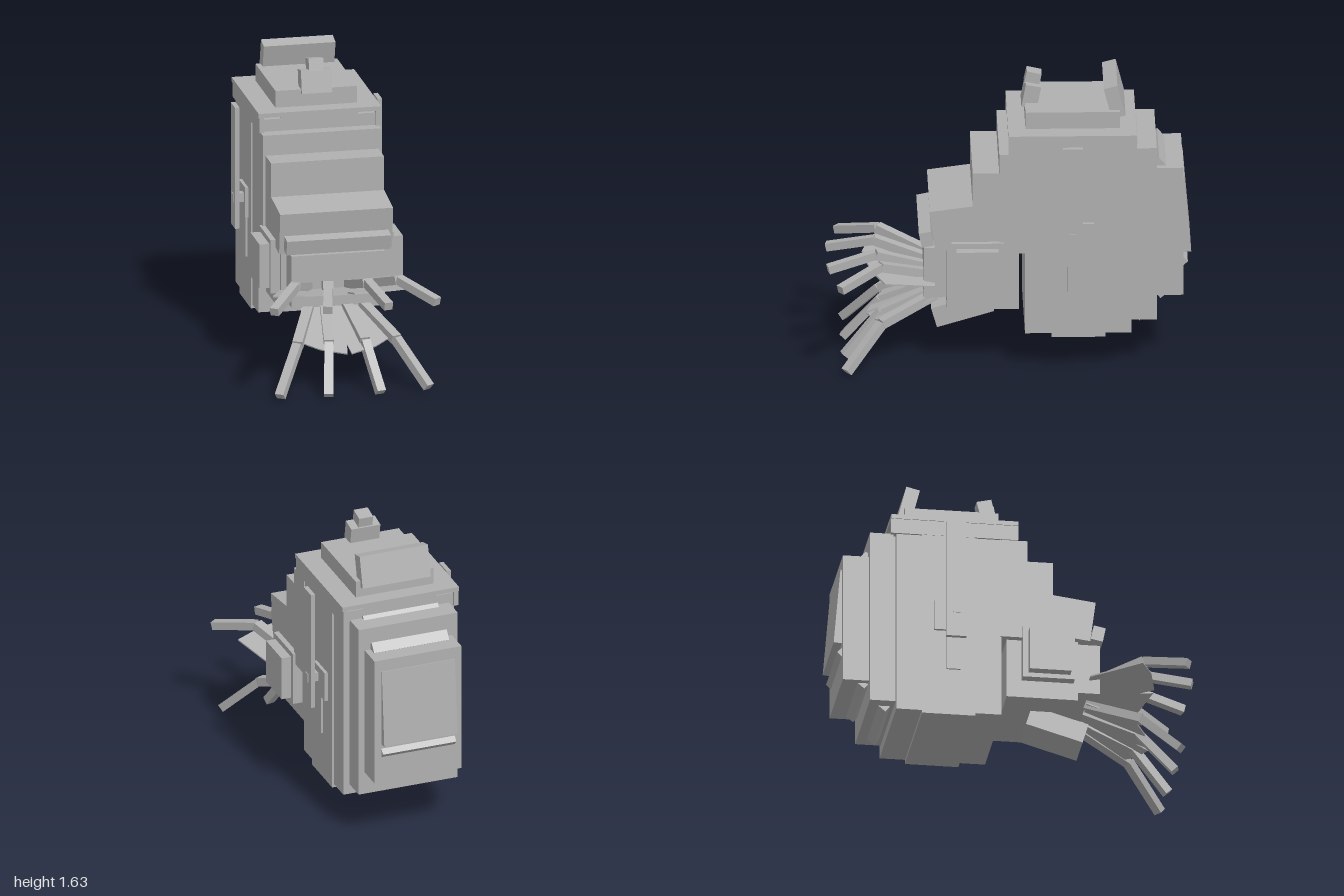
import * as THREE from 'three';

export function createModel() {
  const model = new THREE.Group();
  model.name = 'blockCreature';
  const grey = new THREE.MeshStandardMaterial({ color: 0xb0b0b0, flatShading: true });
  grey.name = 'plain grey';

  function add(name, geometry) {
    const mesh = new THREE.Mesh(geometry, grey);
    mesh.name = name;
    model.add(mesh);
    return mesh;
  }
  // Box from its limits
  function block(name, x0, x1, y0, y1, z0, z1) {
    const m = add(name, new THREE.BoxGeometry(x1 - x0, y1 - y0, z1 - z0));
    m.position.set((x0 + x1) / 2, (y0 + y1) / 2, (z0 + z1) / 2);
    return m;
  }
  // Box centred on x with half width w
  const slab = (name, w, y0, y1, z0, z1) => block(name, -w, w, y0, y1, z0, z1);
  // Box centred on x, tilted about x
  function tilted(name, w, h, d, y, z, angle) {
    const m = add(name, new THREE.BoxGeometry(w, h, d));
    m.position.set(0, y, z);
    m.rotation.x = angle;
  }
  // Box beam between two points
  function beam(name, a, b, w, t) {
    const p = new THREE.Vector3(...a), q = new THREE.Vector3(...b);
    const m = add(name, new THREE.BoxGeometry(w, t, p.distanceTo(q)));
    m.position.copy(p).add(q).multiplyScalar(0.5);
    m.lookAt(q);
  }

  // Stacked body sections
  slab('bodyFrontSection', 0.33, 0.69, 1.27, -0.10, 0.05);
  slab('bodySection', 0.325, 0.22, 1.27, -0.235, -0.09);
  slab('bodyMiddleSection', 0.335, 0.2, 1.27, -0.53, -0.235);
  slab('bodyRearSection', 0.325, 0.22, 1.27, -0.67, -0.53);
  slab('backLayer', 0.29, 0.28, 1.285, -0.81, -0.67);
  slab('outerBackLayer', 0.255, 0.41, 1.155, -0.955, -0.81);

  // Roof
  slab('roofCore', 0.33, 1.27, 1.34, -0.68, -0.02);
  for (const s of [-1, 1]) {
    const x = s * 0.325;
    block('roofSkirt', x - 0.012, x + 0.012, 1.27, 1.36, -0.7, 0);
  }
  slab('roofNeck', 0.215, 1.33, 1.36, -0.68, -0.02);
  slab('roofSlab', 0.342, 1.355, 1.38, -0.7, 0);
  slab('roofStep', 0.228, 1.38, 1.475, -0.61, -0.095);
  tilted('roofFin', 0.4, 0.18, 0.077, 1.52, -0.582, 0.25);
  tilted('turret', 0.17, 0.13, 0.085, 1.51, -0.13, -0.19);
  tilted('turretTop', 0.082, 0.07, 0.083, 1.6, -0.14, -0.22);

  // Back details
  tilted('upperBackBar', 0.44, 0.06, 0.06, 1.16, -0.82, 0.7);
  tilted('topBackBar', 0.44, 0.06, 0.06, 1.262, -0.69, 0.7);
  tilted('lowerBackBar', 0.44, 0.06, 0.06, 0.29, -0.72, 0.7);
  tilted('undersideBar', 0.44, 0.06, 0.06, 0.42, -0.835, 0.7);
  tilted('backPlate', 0.43, 0.44, 0.05, 0.865, -0.956, 0.085);
  tilted('backPlateBar', 0.43, 0.045, 0.045, 0.59, -0.949, 0.8);

  // Front steps, hood and face
  slab('frontStep', 0.315, 0.69, 1.155, 0.04, 0.195);
  tilted('hood', 0.63, 0.235, 0.3, 0.835, 0.265, 0.13);
  tilted('browBar', 0.58, 0.083, 0.067, 0.76, 0.447, 0.2);
  slab('face', 0.26, 0.41, 0.7, 0.2, 0.46);
  slab('jaw', 0.29, 0.35, 0.7, -0.058, 0.335);
  tilted('chin', 0.24, 0.115, 0.325, 0.28, 0.245, 0.285);

  // Side panels, rails and brackets
  for (const s of [-1, 1]) {
    const side = (name, x0, x1, ...rest) =>
      block(name, Math.min(s * x0, s * x1), Math.max(s * x0, s * x1), ...rest);
    side('cheekBase', 0.28, 0.345, 0.45, 0.755, 0.025, 0.31);
    side('cheekPanel', 0.34, 0.4, 0.475, 0.725, 0.055, 0.285);
    side('rail', 0.385, 0.41, 0.64, 1.33, -0.405, -0.295);
    side('railMount', 0.33, 0.415, 0.78, 0.83, -0.37, -0.33);
    side('bracket', 0.32, 0.353, 0.7, 0.87, -0.465, -0.3);
    side('lowerStrip', 0.32, 0.347, 0.47, 0.7, -0.395, -0.32);
  }

  // Jointed feelers: base, joint, tip
  const feelers = [
    ['outerUpperFeeler', [0.155, 0.51, 0.42], [0.29, 0.605, 0.7], [0.455, 0.535, 0.92]],
    ['innerUpperFeeler', [0.055, 0.51, 0.42], [0.11, 0.605, 0.72], [0.17, 0.545, 0.98]],
    ['outerLowerFeeler', [0.15, 0.385, 0.4], [0.275, 0.265, 0.69], [0.415, 0.04, 0.885]],
    ['innerLowerFeeler', [0.06, 0.385, 0.4], [0.1, 0.265, 0.69], [0.145, 0.03, 0.89]],
  ];
  for (const [name, ...path] of feelers) {
    for (const s of [-1, 1]) {
      const [a, b, c] = path.map(([x, y, z]) => [s * x, y, z]);
      beam(name + 'Base', a, b, 0.056, 0.048);
      beam(name + 'Tip', b, c, 0.05, 0.045);
    }
  }

  // Thin webs behind the feelers
  function web(name, spread, y, z, angle) {
    const half = [[0.31, 0], [0.41, 0.28], [0.25, 0.35], [0.02, 0.4]];
    const outline = [
      ...half.map(([x, d]) => new THREE.Vector2(x * spread, d)),
      new THREE.Vector2(0, 0.32),
      ...half.slice().reverse().map(([x, d]) => new THREE.Vector2(-x * spread, d)),
    ];
    const g = new THREE.ExtrudeGeometry(new THREE.Shape(outline), { depth: 0.008, bevelEnabled: false });
    g.rotateX(Math.PI / 2);
    const m = add(name, g);
    m.position.set(0, y, z);
    m.rotation.x = angle;
  }
  web('upperWeb', 1, 0.495, 0.4, -0.2);
  web('lowerWeb', 0.62, 0.385, 0.4, 0.42);

  return model;
}
